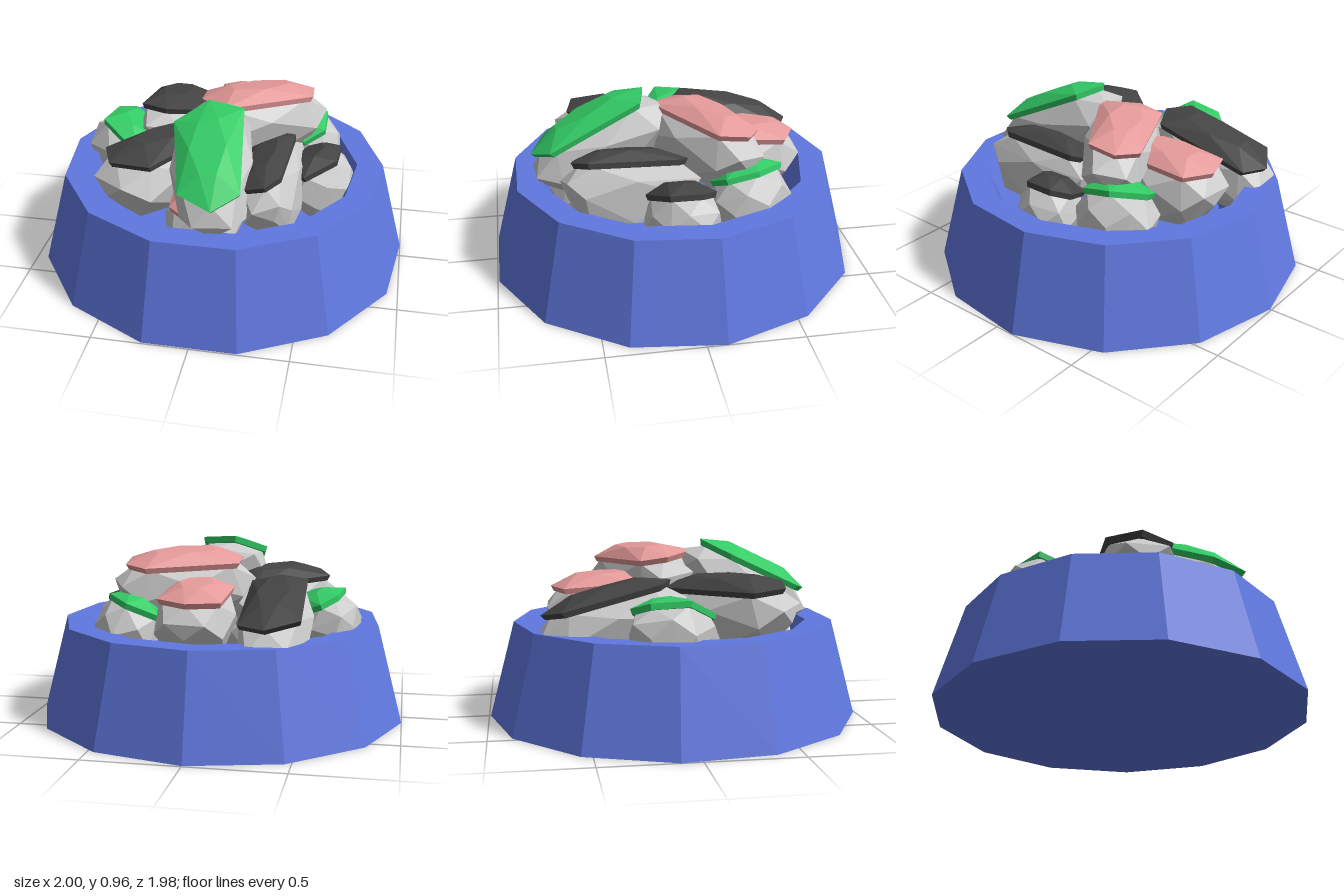
import * as THREE from 'three';
import { ConvexGeometry } from 'three/addons/geometries/ConvexGeometry.js';

const material = (color) => new THREE.MeshStandardMaterial({ color, flatShading: true });
const BLUE = material(0x6078e0);
const GREEN = material(0x33cc66);
const PINK = material(0xe59a9a);
const BLACK = material(0x444444);
const RICE = material(0xcccccc);

// Each piece: topping outline seen from above [x, z], height at its middle, slope along x and z
const PIECES = [
  { name: 'frontGreen', mat: GREEN, y: 0.81, slope: [0.03, -0.48],
    outline: [[-0.05, 0.16], [0.14, 0.2], [0.2, 0.68], [0.07, 0.78], [-0.11, 0.7], [-0.21, 0.3]] },
  { name: 'upperPink', mat: PINK, y: 0.86, slope: [0.03, 0.13],
    outline: [[0.33, -0.39], [0.45, -0.32], [0.46, -0.16], [0.02, 0.13], [-0.13, -0.03], [-0.13, -0.18]] },
  { name: 'backPink', mat: PINK, y: 0.72, slope: [0.02, 0.06],
    outline: [[-0.11, -0.59], [0.06, -0.65], [0.22, -0.57], [0.22, -0.2], [0.05, -0.08], [-0.11, -0.2]] },
  { name: 'backBlack', mat: BLACK, y: 0.69, slope: [-0.05, 0.26],
    outline: [[-0.51, -0.62], [-0.34, -0.72], [-0.2, -0.66], [-0.19, -0.12], [-0.34, -0.05], [-0.49, -0.12]] },
  { name: 'sideGreenRight', mat: GREEN, y: 0.63, slope: [-0.45, 0],
    outline: [[-0.65, -0.2], [-0.57, -0.29], [-0.4, -0.2], [-0.28, 0.04], [-0.45, 0.17], [-0.68, 0.0]] },
  { name: 'sideGreenLeft', mat: GREEN, y: 0.63, slope: [0.4, -0.2],
    outline: [[0.24, -0.42], [0.4, -0.5], [0.53, -0.35], [0.53, -0.18], [0.42, -0.12], [0.28, -0.2]] },
  { name: 'frontBlackRight', mat: BLACK, y: 0.73, slope: [0.05, 0.06],
    outline: [[-0.22, -0.05], [-0.1, -0.03], [-0.04, 0.1], [-0.28, 0.56], [-0.5, 0.52], [-0.57, 0.34]] },
  { name: 'frontBlackLeft', mat: BLACK, y: 0.69, slope: [0.33, 0.02],
    outline: [[0.08, 0.12], [0.34, -0.02], [0.39, 0.02], [0.37, 0.5], [0.3, 0.58], [0.16, 0.55]] },
  { name: 'sideBlackLeft', mat: BLACK, y: 0.59, slope: [0.4, 0],
    outline: [[0.37, -0.06], [0.55, -0.13], [0.63, -0.05], [0.62, 0.12], [0.46, 0.22], [0.36, 0.15]] },
  { name: 'lowerFrontPink', mat: PINK, y: 0.55, slope: [0, -0.05],
    outline: [[-0.19, 0.4], [0, 0.33], [0.15, 0.42], [0.12, 0.62], [-0.06, 0.68], [-0.18, 0.58]] },
];

function buildPiece({ name, mat, y, slope: [a, b], outline }) {
  const n = outline.length;
  const cx = outline.reduce((s, p) => s + p[0], 0) / n;
  const cz = outline.reduce((s, p) => s + p[1], 0) / n;
  const normal = new THREE.Vector3(-a, 1, -b).normalize();

  // A scaled copy of the outline on the sloped plane, moved along its normal;
  // halfStep uses the edge midpoints, giving triangular facets
  const ring = (scale, lift, halfStep = false) => outline.map((p, i) => {
    const q = halfStep ? outline[(i + 1) % n] : p;
    const dx = ((p[0] + q[0]) / 2 - cx) * scale;
    const dz = ((p[1] + q[1]) / 2 - cz) * scale;
    return new THREE.Vector3(cx + dx, y + a * dx + b * dz, cz + dz).addScaledVector(normal, lift);
  });

  const group = new THREE.Group();
  group.name = name + 'Piece';
  const topping = new THREE.Mesh(
    new ConvexGeometry([...ring(0.95, -0.03), ...ring(1, 0), ...ring(0.55, 0.055, true)]), mat);
  topping.name = name + 'Topping';
  const rice = new THREE.Mesh(
    new ConvexGeometry([...ring(0.86, -0.02), ...ring(1.26, -0.1, true), ...ring(1.08, -0.18), ...ring(0.8, -0.32, true)]), RICE);
  rice.name = name + 'Rice';
  group.add(topping, rice);
  return group;
}

export function createModel() {
  const model = new THREE.Group();
  model.name = 'bowlOfRicePieces';

  // Thirteen-sided bowl: base, outer wall, flat rim, inner wall, floor
  const profile = [[0, 0], [1.007, 0], [0.87, 0.52], [0.73, 0.52], [0.6, 0.2], [0, 0.2]]
    .map(([r, h]) => new THREE.Vector2(r, h));
  const bowl = new THREE.Mesh(new THREE.LatheGeometry(profile, 13, Math.PI), BLUE);
  bowl.position.z = 0.015;
  bowl.name = 'bowl';
  model.add(bowl);

  // Rice pieces with toppings, heaped in the bowl
  const heap = new THREE.Group();
  heap.name = 'heap';
  PIECES.forEach((piece) => heap.add(buildPiece(piece)));
  model.add(heap);
  return model;
}
